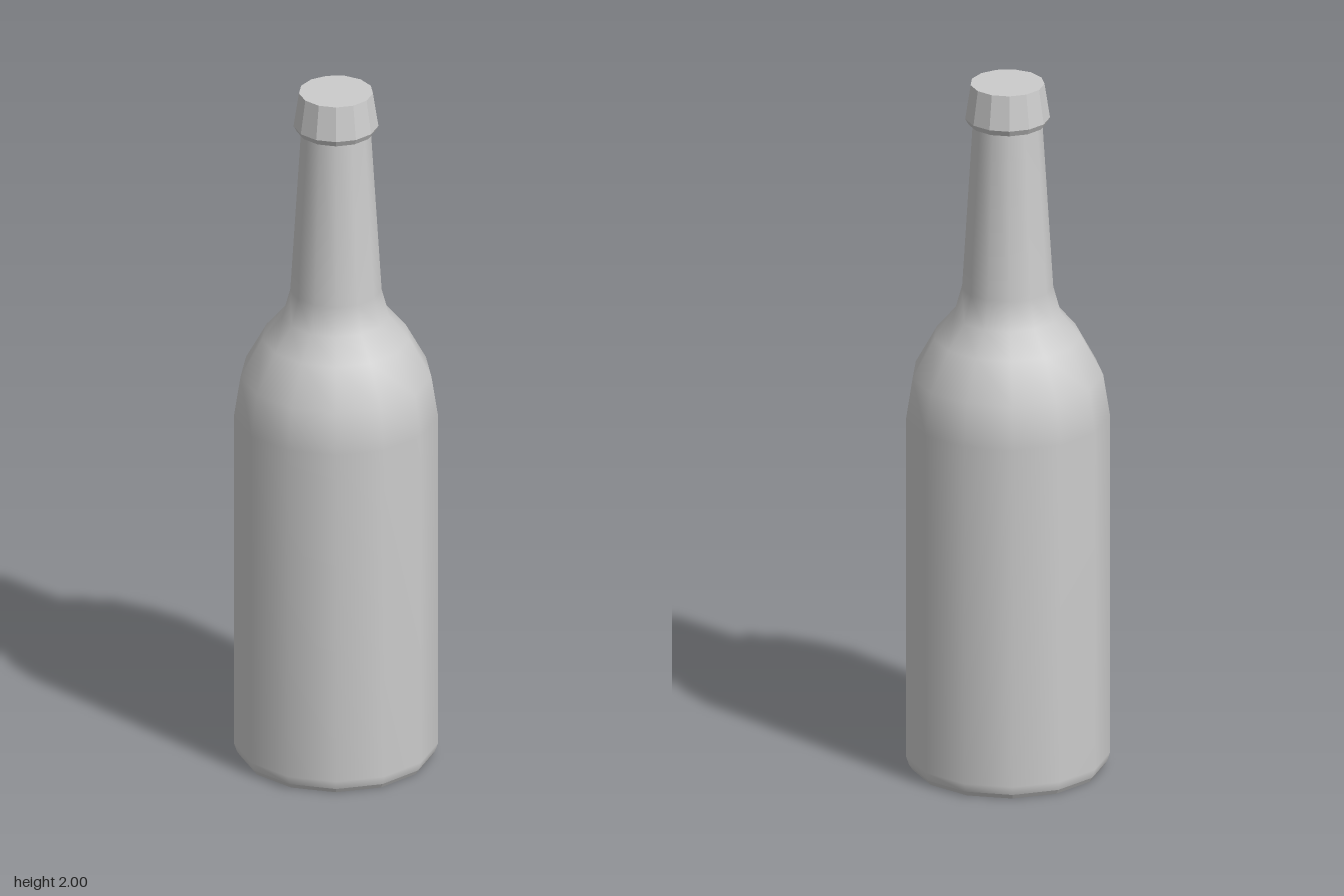
import * as THREE from 'three';

const SIDES = 13;
const CENTRE_X = -0.004; // odd number of sides: shift so the bounds are centred

// Revolves [radius, height] pairs, bottom to top, with a corner on +x
function turned(name, profile, flatShading = false) {
  const points = profile.map(([r, y]) => new THREE.Vector2(r, y));
  const geometry = new THREE.LatheGeometry(points, SIDES, Math.PI / 2);
  const material = new THREE.MeshStandardMaterial({ color: 0xcccccc, flatShading });
  const mesh = new THREE.Mesh(geometry, material);
  mesh.name = name;
  mesh.position.x = CENTRE_X;
  return mesh;
}

export function createModel() {
  const bottle = new THREE.Group();
  bottle.name = 'bottle';

  // Flat underside and its small bevel
  bottle.add(turned('base', [[0, 0], [0.264, 0], [0.273, 0.014]], true));

  // Smooth body, shoulder and tapering neck
  bottle.add(turned('body', [
    [0.273, 0.014], [0.2816, 0.04], [0.2816, 1.03], [0.263, 1.15],
    [0.203, 1.26], [0.148, 1.325], [0.126, 1.405], [0.096, 1.89],
  ]));

  // Faceted cap, closed above and below
  bottle.add(turned('cap', [
    [0.09, 1.885], [0.108, 1.885], [0.117, 1.902], [0.102, 2], [0, 2],
  ], true));

  return bottle;
}
